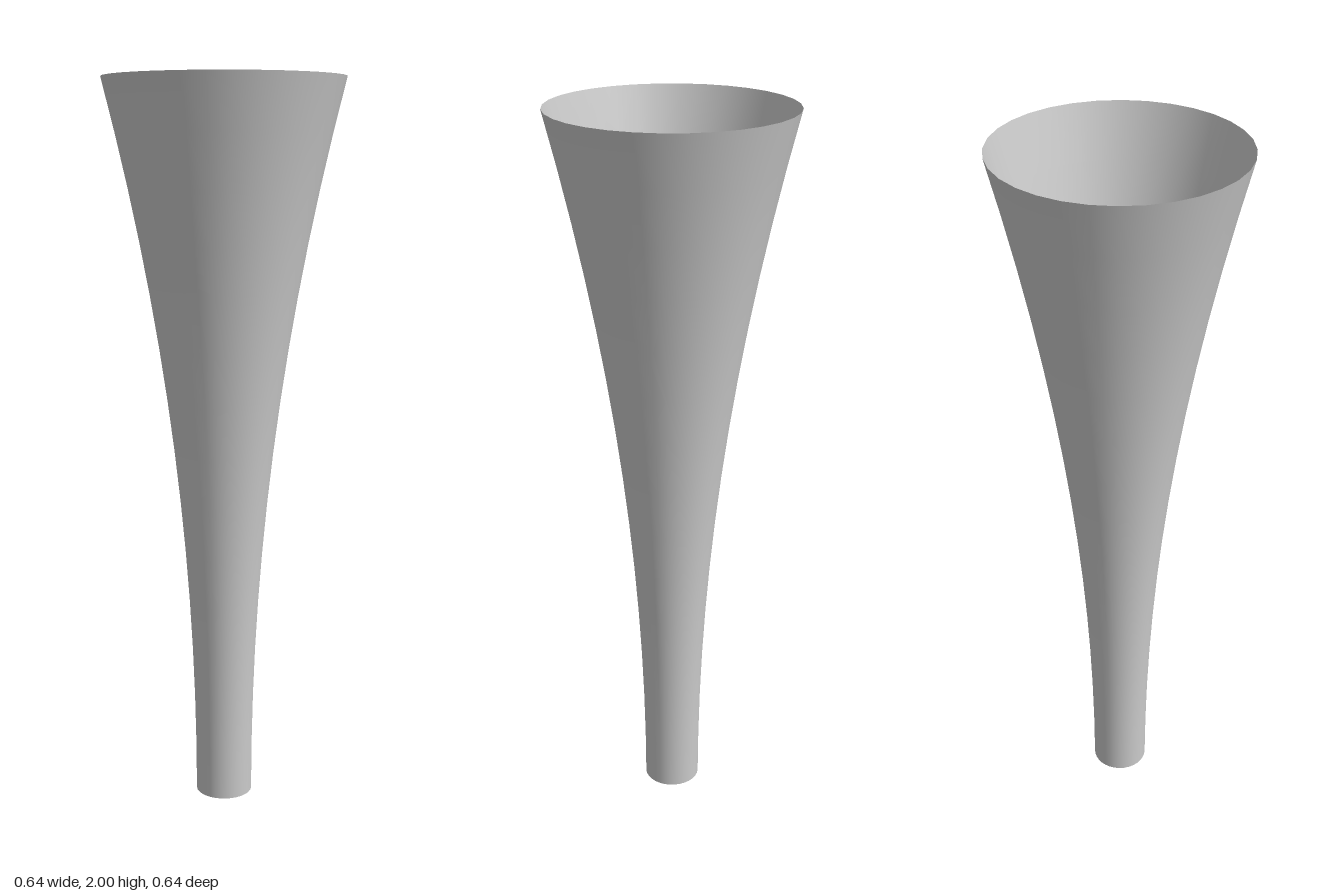
import * as THREE from 'three';

export function createModel() {
  const group = new THREE.Group();
  const height = 2, baseRadius = 0.079, rimRadius = 0.322, steps = 14;

  // Flare: almost straight at the stem, widening steadily to the rim
  const profile = [];
  for (let i = 0; i <= steps; i++) {
    const t = i / steps;
    profile.push(new THREE.Vector2(baseRadius + (rimRadius - baseRadius) * Math.pow(t, 2.08), t * height));
  }

  // Thin open shell, with no caps at either end
  const horn = new THREE.Mesh(
    new THREE.LatheGeometry(profile, 32),
    new THREE.MeshStandardMaterial({ color: 0xcccccc, side: THREE.DoubleSide })
  );
  horn.name = 'flaredHorn';
  group.add(horn);
  return group;
}
